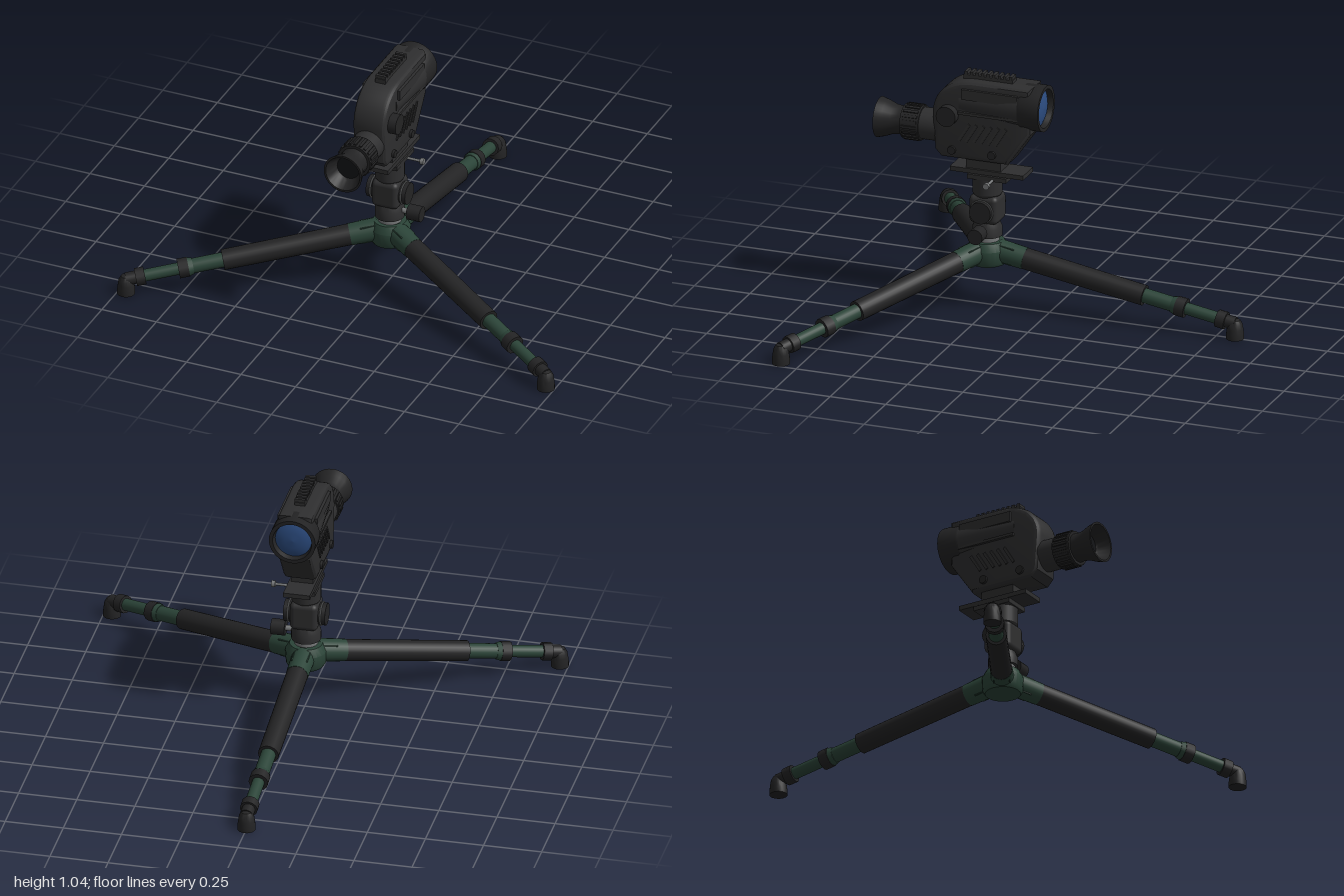
import * as THREE from 'three';
import { toCreasedNormals } from 'three/addons/utils/BufferGeometryUtils.js';
import { RoundedBoxGeometry } from 'three/addons/geometries/RoundedBoxGeometry.js';

const mat = (name, color) => {
  const m = new THREE.MeshStandardMaterial({ color });
  m.name = name;
  return m;
};

export function createModel() {
  const body = mat('charcoal body', 0x2e2e2f);
  const rubber = mat('black rubber', 0x232324);
  const green = mat('dark green', 0x2b4438);
  const metal = mat('grey metal', 0x77797a);
  const glass = mat('blue glass', 0x2c4c80);
  const dark = mat('dark glass', 0x121316);
  const model = new THREE.Group();
  model.name = 'tripodScope';

  const add = (parent, name, geo, m, x = 0, y = 0, z = 0) => {
    const mesh = new THREE.Mesh(geo, m);
    mesh.name = name;
    mesh.position.set(x, y, z);
    parent.add(mesh);
    return mesh;
  };
  const group = (parent, name, x = 0, y = 0, z = 0) => {
    const g = new THREE.Group();
    g.name = name;
    g.position.set(x, y, z);
    parent.add(g);
    return g;
  };
  const box = (p, name, m, w, h, d, x, y, z) => add(p, name, new THREE.BoxGeometry(w, h, d), m, x, y, z);
  // Turned profile of [radius, height] pairs with crisp edges
  const lathe = (pts, seg = 32) => toCreasedNormals(
    new THREE.LatheGeometry(pts.map(([r, h]) => new THREE.Vector2(r, h)), seg), 0.6);
  const cyl = (p, name, m, r0, r1, y0, y1, seg = 28) =>
    add(p, name, new THREE.CylinderGeometry(r1, r0, y1 - y0, seg), m, 0, (y0 + y1) / 2, 0);
  // Cylinder along z from a to b
  const zCyl = (p, name, m, r0, r1, a, b, seg = 24, y = 0) =>
    add(p, name, new THREE.CylinderGeometry(r1, r0, b - a, seg).rotateX(Math.PI / 2), m, 0, y, (a + b) / 2);
  // Cylinder along x from a to b
  const xCyl = (p, name, m, r, a, b, y, z, seg = 24) =>
    add(p, name, new THREE.CylinderGeometry(r, r, b - a, seg).rotateZ(-Math.PI / 2), m, (a + b) / 2, y, z);

  // ---- Tripod ----
  const tripod = group(model, 'tripod', 0, 0, 0.277);
  add(tripod, 'hub', lathe([[0, 0.19], [0.075, 0.19], [0.085, 0.205], [0.088, 0.26], [0.07, 0.292], [0, 0.292]], 24), green);
  [Math.PI, Math.PI / 3, -Math.PI / 3].forEach((yaw) => {
    const leg = group(tripod, 'leg');
    leg.rotation.y = yaw;
    const beam = group(leg, 'legBeam', 0, 0.256, 0);
    beam.rotation.x = Math.atan(0.17);
    zCyl(beam, 'legSocket', green, 0.05, 0.047, 0.05, 0.172);
    box(beam, 'hinge', green, 0.07, 0.075, 0.08, 0, 0, 0.085);
    zCyl(beam, 'foamGrip', rubber, 0.046, 0.044, 0.168, 0.715);
    zCyl(beam, 'upperTube', green, 0.032, 0.032, 0.715, 0.86);
    zCyl(beam, 'upperCollar', green, 0.035, 0.04, 0.842, 0.862, 12);
    zCyl(beam, 'upperLock', rubber, 0.042, 0.042, 0.862, 0.905, 12);
    zCyl(beam, 'lowerTube', green, 0.026, 0.026, 0.905, 1.06);
    zCyl(beam, 'lowerLock', rubber, 0.038, 0.038, 1.048, 1.088, 12);
    zCyl(beam, 'ankle', rubber, 0.028, 0.028, 1.088, 1.13);
    add(leg, 'foot', lathe([[0, 0], [0.038, 0], [0.038, 0.022], [0.035, 0.045], [0.032, 0.065],
      [0.022, 0.083], [0, 0.091]], 20), rubber, 0, 0, 1.112);
  });

  // ---- Pan and tilt head ----
  const head = group(model, 'tripodHead', 0, 0, 0.279);
  cyl(head, 'panRing', metal, 0.05, 0.05, 0.285, 0.316);
  add(head, 'panBase', lathe([[0, 0.314], [0.063, 0.314], [0.063, 0.352], [0.05, 0.383], [0, 0.383]]), body);
  xCyl(head, 'panScrew', metal, 0.012, 0.04, 0.09, 0.35, 0, 12);
  xCyl(head, 'panKnob', rubber, 0.034, 0.088, 0.148, 0.35, 0, 12);
  add(head, 'tiltBlock', new RoundedBoxGeometry(0.12, 0.125, 0.128, 3, 0.022), body, 0, 0.438, 0);
  for (const s of [-1, 1]) {
    const [a, b] = s > 0 ? [0.055, 0.09] : [-0.09, -0.055];
    xCyl(head, 'tiltKnob', rubber, 0.048, a, b, 0.437, 0);
    const ring = add(head, 'tiltRing', new THREE.TorusGeometry(0.05, 0.003, 6, 36), metal, s * 0.07, 0.437, 0);
    ring.rotation.y = Math.PI / 2;
  }
  cyl(head, 'neck', body, 0.05, 0.063, 0.485, 0.505);
  cyl(head, 'upperNeck', body, 0.063, 0.063, 0.505, 0.576);
  box(head, 'clampPlate', body, 0.125, 0.02, 0.175, 0, 0.586, -0.02);
  xCyl(head, 'clampLever', metal, 0.006, 0.05, 0.125, 0.58, -0.045, 10);
  xCyl(head, 'leverTip', metal, 0.014, 0.122, 0.138, 0.58, -0.045, 12);
  box(head, 'mountPlate', body, 0.115, 0.02, 0.33, 0, 0.609, -0.018);
  box(head, 'mountBlock', body, 0.095, 0.05, 0.155, 0, 0.64, 0);

  // ---- Scope body: side outline in (z, y) extruded across x ----
  const scope = group(model, 'scope');
  const o = new THREE.Shape();
  o.moveTo(0.165, 0.66);
  o.lineTo(0.462, 0.66);
  o.lineTo(0.49, 0.69);
  o.lineTo(0.503, 0.85);
  o.bezierCurveTo(0.503, 0.95, 0.42, 1.012, 0.32, 1.012);
  o.lineTo(0.06, 1.012);
  o.lineTo(0.06, 0.81);
  o.closePath();
  const hull = new THREE.ExtrudeGeometry(o, { depth: 0.104, curveSegments: 14, bevelThickness: 0.022,
    bevelSize: 0.022, bevelOffset: -0.022, bevelSegments: 3 });
  hull.translate(0, 0, -0.052).rotateY(-Math.PI / 2);
  add(scope, 'scopeHull', toCreasedNormals(hull, 0.5), body);
  // Barrel bulge swelling towards the objective
  zCyl(scope, 'barrelBulge', body, 0.097, 0.078, 0.09, 0.38, 32, 0.913);

  // Side details, mirrored
  for (const s of [-1, 1]) {
    box(scope, 'sidePanel', body, 0.012, 0.045, 0.25, s * 0.08, 0.958, 0.24);
    box(scope, 'sideRail', body, 0.012, 0.012, 0.28, s * 0.081, 0.873, 0.24);
    for (const z of [0.41, 0.23]) {
      const [a, b] = s > 0 ? [0.07, 0.085] : [-0.085, -0.07];
      xCyl(scope, 'sideScrew', rubber, 0.018, a, b, 0.7, z, 16);
    }
    for (let i = 0; i < 6; i++) {
      const rib = box(scope, 'gripRib', body, 0.008, 0.09, 0.012, s * 0.075, 0.785, 0.19 + i * 0.033);
      rib.rotation.x = -0.55;
    }
  }
  xCyl(scope, 'focusKnob', rubber, 0.044, 0.06, 0.11, 0.857, 0.425, 28);

  // Accessory rail on top
  box(scope, 'topRail', body, 0.046, 0.02, 0.22, 0, 1.016, 0.267);
  for (let i = 0; i < 9; i++) box(scope, 'railTooth', body, 0.046, 0.014, 0.013, 0, 1.033, 0.167 + i * 0.025);

  // Objective, opening towards -z
  const objective = group(scope, 'objective', 0, 0.913, 0.115);
  objective.rotation.x = -Math.PI / 2;
  add(objective, 'objectiveHood', lathe([[0, 0], [0.094, 0], [0.1, 0.012], [0.1, 0.1], [0.084, 0.1], [0.078, 0.075]], 40), rubber);
  add(objective, 'objectiveLens', new THREE.LatheGeometry([[0.08, 0.075], [0.06, 0.084], [0.035, 0.089], [0, 0.092]]
    .map(([r, h]) => new THREE.Vector2(r, h)), 40), glass);

  // Eyepiece, opening towards +z
  const eyepiece = group(scope, 'eyepiece', 0, 0.773, 0.48);
  eyepiece.rotation.x = Math.PI / 2;
  cyl(eyepiece, 'eyepieceBase', body, 0.068, 0.068, 0, 0.085);
  cyl(eyepiece, 'diopterRing', rubber, 0.074, 0.074, 0.085, 0.168, 32);
  for (let i = 0; i < 20; i++) {
    const a = (i / 20) * Math.PI * 2;
    const ridge = box(eyepiece, 'diopterRidge', rubber, 0.012, 0.066, 0.01, Math.sin(a) * 0.074, 0.126, Math.cos(a) * 0.074);
    ridge.rotation.y = a;
  }
  add(eyepiece, 'eyecup', lathe([[0.062, 0.165], [0.06, 0.185], [0.064, 0.215], [0.078, 0.25], [0.087, 0.283],
    [0.078, 0.283], [0.058, 0.235], [0.05, 0.225]], 36), rubber);
  cyl(eyepiece, 'eyeLens', dark, 0.052, 0.052, 0.168, 0.226);

  return model;
}
